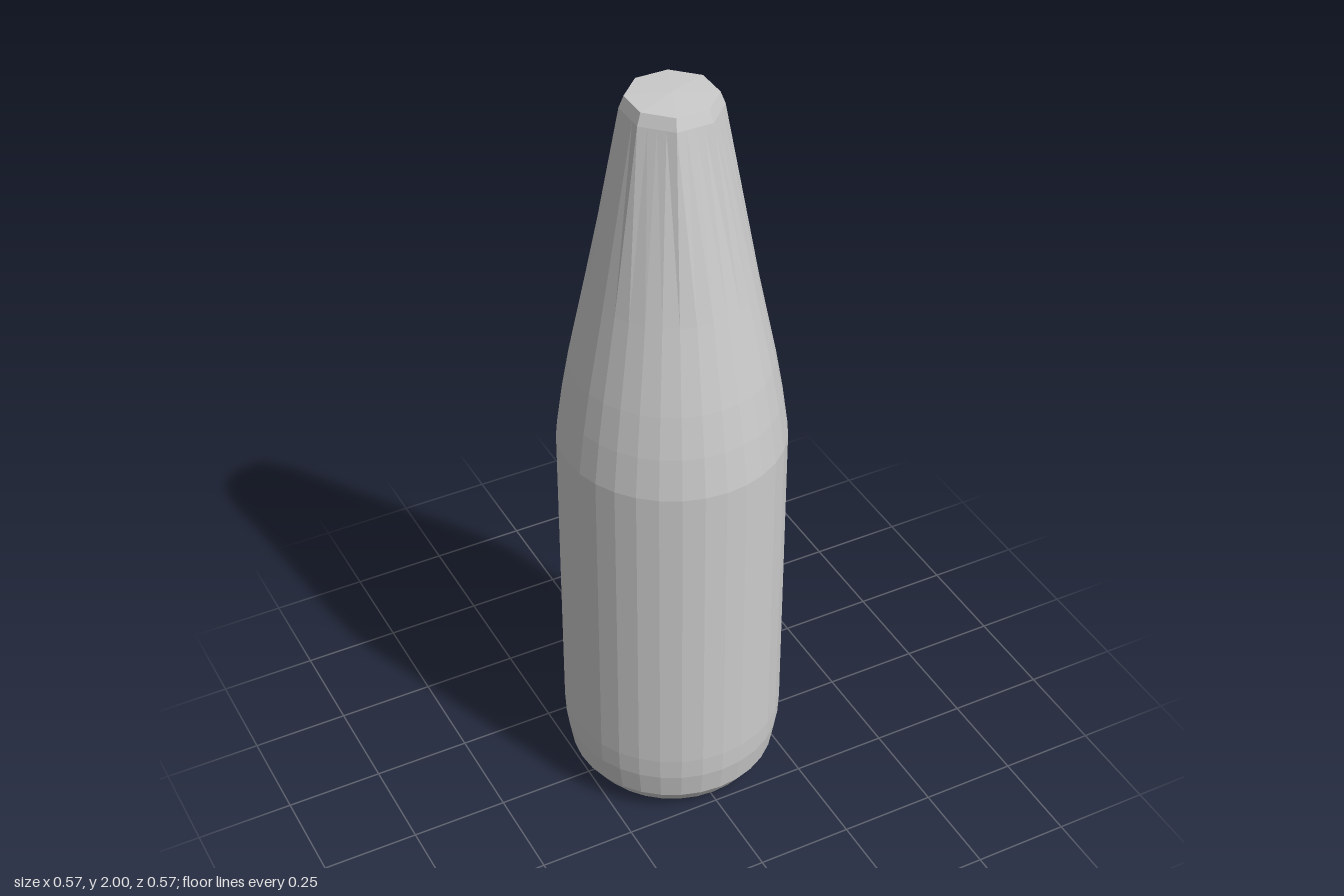
import * as THREE from 'three';

const SEGMENTS = 32;

// Outline from the base centre up to the top centre: [radius, height]
const PROFILE = [
  [0, 0], [0.21, 0.004], [0.235, 0.018], [0.268, 0.065], [0.281, 0.14],
  [0.284, 0.2], [0.284, 1.06], [0.269, 1.17], [0.25, 1.28], [0.205, 1.5],
  [0.113, 1.965], [0.102, 1.995], [0, 2],
];

// Blend the round neck into an eight-sided mouth
function facetNeck(geometry) {
  const pos = geometry.attributes.position;
  const step = Math.PI / 4;
  for (let i = 0; i < pos.count; i++) {
    const x = pos.getX(i), y = pos.getY(i), z = pos.getZ(i);
    const blend = THREE.MathUtils.clamp((y - 1.5) / 0.45, 0, 1);
    if (blend === 0) continue;
    const angle = Math.atan2(z, x);
    const offset = angle - Math.round(angle / step) * step;
    const scale = 1 + blend * (0.98 / Math.cos(offset) - 1);
    pos.setXYZ(i, x * scale, y, z * scale);
  }
  geometry.computeVertexNormals();
}

export function createModel() {
  const group = new THREE.Group();
  group.name = 'bottle';

  // Straight body, rounded base and tapering neck in one turned shell
  const geometry = new THREE.LatheGeometry(
    PROFILE.map(([r, y]) => new THREE.Vector2(r, y)), SEGMENTS);
  facetNeck(geometry);

  const body = new THREE.Mesh(geometry, new THREE.MeshStandardMaterial({
    color: 0xcccccc, flatShading: true,
  }));
  body.name = 'bottleBody';
  group.add(body);
  return group;
}
